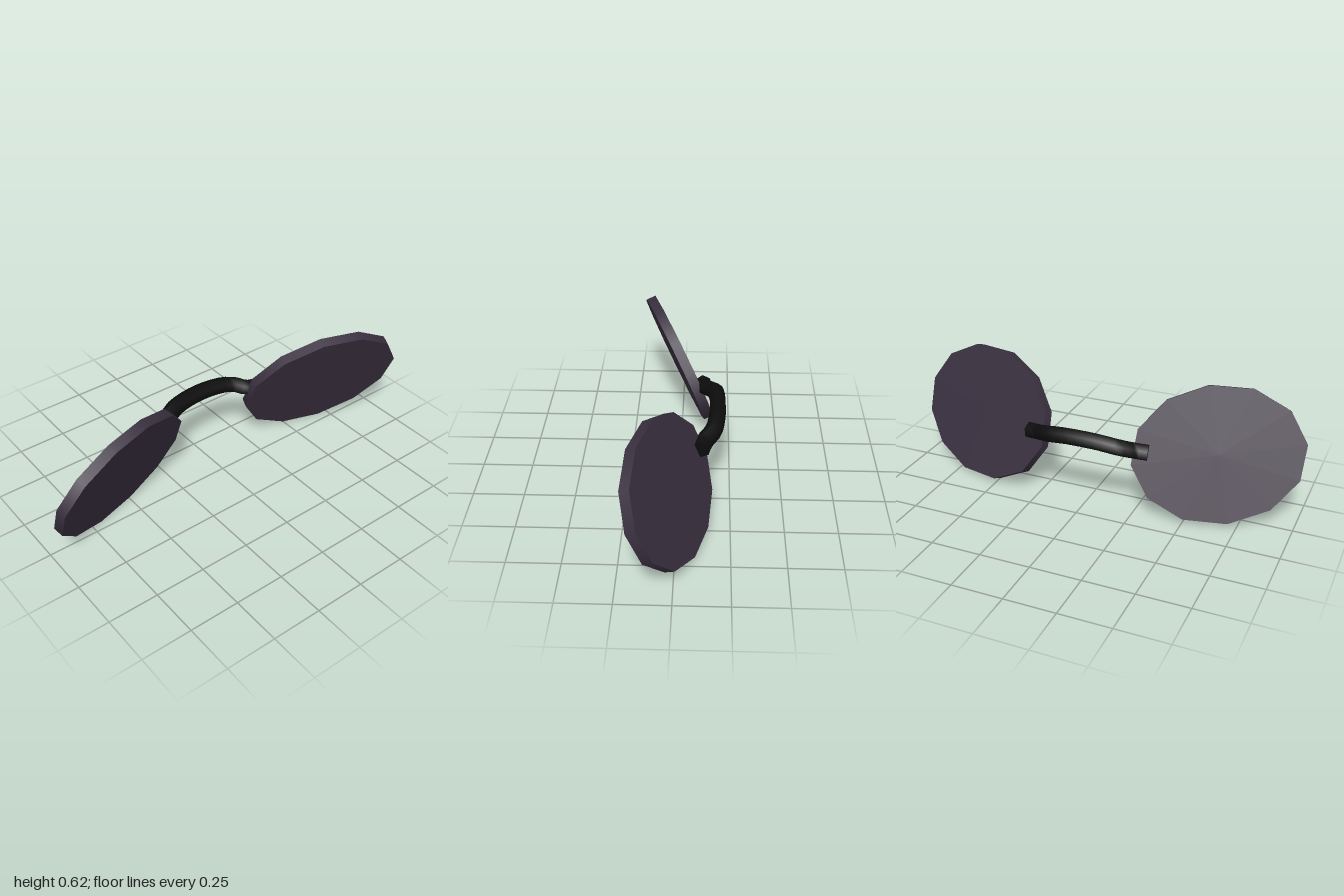
import * as THREE from 'three';

export function createModel() {
  const group = new THREE.Group();
  const lensTint = new THREE.MeshStandardMaterial({ color: 0x3a3040 });
  lensTint.name = 'dark violet lens';
  const bridgeBlack = new THREE.MeshStandardMaterial({ color: 0x0d0d0d });
  bridgeBlack.name = 'bridge black';

  // Lens: twelve-sided oval disc, stretched along its own two axes and tilted.
  // s = 1 for the left lens, -1 for the mirrored right lens.
  const thickness = 0.05;
  const makeLens = (s, name) => {
    const across = new THREE.Vector3(0.378, -0.095 * s, 0.0735 * s);
    const down = new THREE.Vector3(-0.115 * s, -0.295, -0.152);
    const normal = across.clone().cross(down).normalize().multiplyScalar(-thickness);
    const geometry = new THREE.CylinderGeometry(1, 1, 1, 12);
    geometry.applyMatrix4(new THREE.Matrix4().makeBasis(across, normal, down));
    const lens = new THREE.Mesh(geometry, lensTint);
    lens.name = name;
    lens.position.set(0.613 * s, 0.317, 0.026);
    group.add(lens);
  };
  makeLens(1, 'leftLens');
  makeLens(-1, 'rightLens');

  // Bridge: six-sided bent tube arching up and back between the lenses
  const half = [[0.31, 0.328, -0.108], [0.25, 0.334, -0.123], [0.19, 0.357, -0.165], [0.08, 0.375, -0.184]];
  const points = [
    ...half,
    ...half.slice().reverse().map(([x, y, z]) => [-x, y, z]),
  ].map((p) => new THREE.Vector3(...p));
  const path = new THREE.CatmullRomCurve3(points);
  const radius = 0.043;
  const bridge = new THREE.Group();
  bridge.name = 'bridge';
  const tube = new THREE.Mesh(new THREE.TubeGeometry(path, 16, radius, 6), bridgeBlack);
  tube.name = 'bridgeTube';
  bridge.add(tube);

  // Flat caps closing the tube ends
  for (const [t, dir] of [[0, -1], [1, 1]]) {
    const cap = new THREE.Mesh(new THREE.CircleGeometry(radius, 6, Math.PI / 2), bridgeBlack);
    cap.name = 'bridgeCap';
    cap.position.copy(path.getPointAt(t));
    cap.lookAt(cap.position.clone().addScaledVector(path.getTangentAt(t), dir));
    bridge.add(cap);
  }
  group.add(bridge);
  return group;
}
